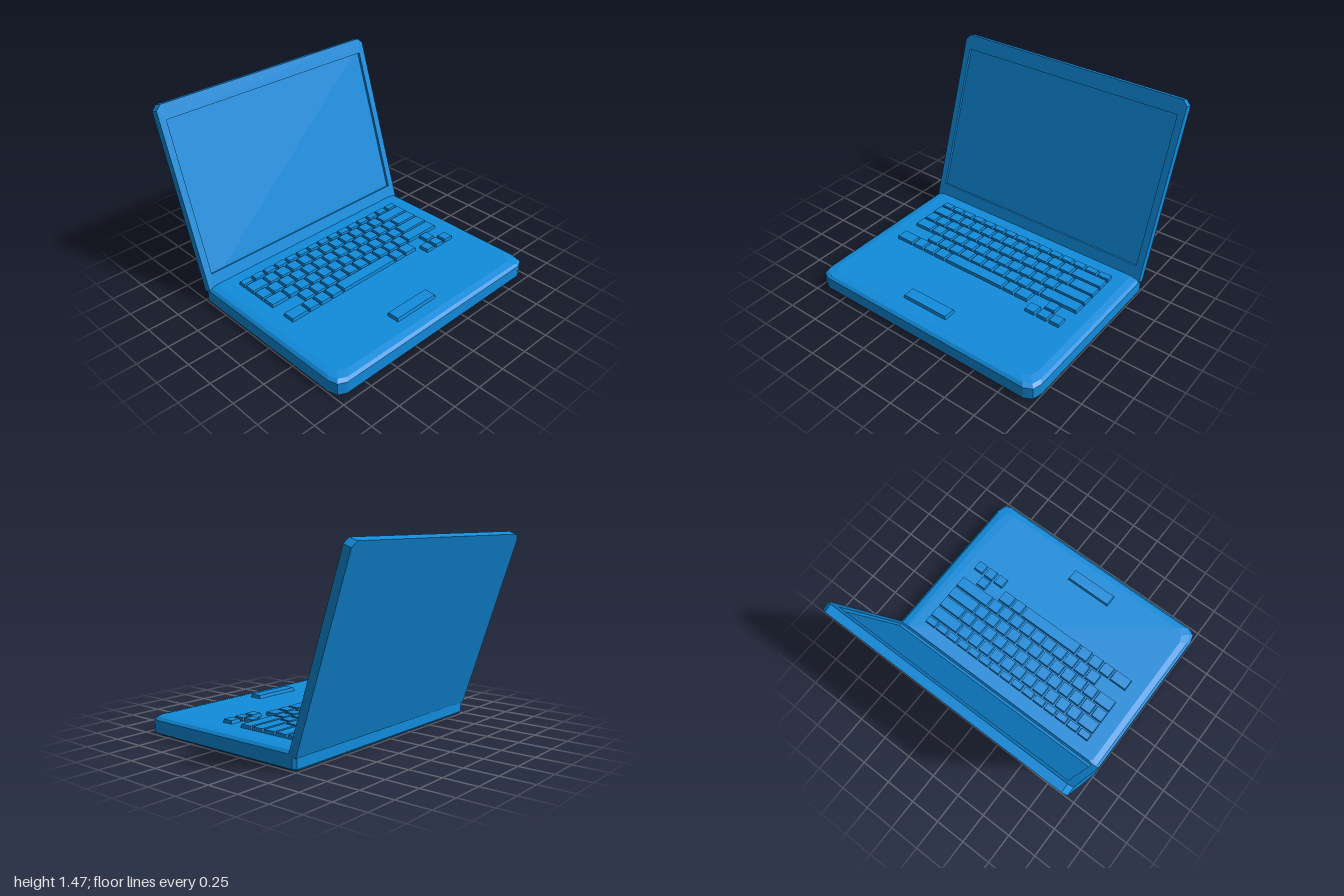
import * as THREE from 'three';

const blue = new THREE.MeshStandardMaterial({ color: 0x118cdc, flatShading: true });

// Horizontal outline of the base: clipped corners, anticlockwise seen from below
function baseRing(y, inset, back) {
  const w = 1 - inset, f = 0.95 - inset;
  const half = [[w - 0.02, back], [w, back + 0.025], [w, f - 0.1], [w - 0.02, f - 0.03], [w - 0.08, f]];
  const other = half.map(([x, z]) => [-x, z]).reverse();
  return [...half, ...other].map(([x, z]) => [x, y, z]);
}

// Stack of equal-length rings joined by side faces and closed by flat caps
function loft(rings) {
  const n = rings[0].length, index = [];
  for (let r = 0; r < rings.length - 1; r++) {
    for (let i = 0; i < n; i++) {
      const a = r * n + i, b = r * n + (i + 1) % n;
      index.push(a, a + n, b, b, a + n, b + n);
    }
  }
  const top = (rings.length - 1) * n;
  for (let i = 1; i < n - 1; i++) {
    index.push(0, i, i + 1, top, top + i + 1, top + i);
  }
  const geometry = new THREE.BufferGeometry();
  geometry.setAttribute('position', new THREE.Float32BufferAttribute(rings.flat(2), 3));
  geometry.setIndex(index);
  geometry.computeVertexNormals();
  return geometry;
}

// Low block between two corners, narrowing slightly towards its top
function taperedBlock(name, x0, x1, z0, z1, taper) {
  const w = x1 - x0, d = z1 - z0, h = 0.035;
  const geometry = new THREE.BoxGeometry(w, h, d);
  const p = geometry.attributes.position;
  for (let i = 0; i < p.count; i++) {
    if (p.getY(i) > 0) {
      p.setX(i, p.getX(i) * (1 - 2 * taper / w));
      p.setZ(i, p.getZ(i) * (1 - 2 * taper / d));
    }
  }
  geometry.computeVertexNormals();
  const mesh = new THREE.Mesh(geometry, blue);
  mesh.name = name;
  mesh.position.set((x0 + x1) / 2, 0.165 - h / 2, (z0 + z1) / 2);
  return mesh;
}

function createKeyboard() {
  const keyboard = new THREE.Group();
  keyboard.name = 'keyboard';
  const unit = 0.11, left = -0.815, gap = 0.005;
  const ones = (n) => Array(n).fill(1);
  // Each row: back edge, front edge, starting offset, key widths in units
  const rows = [
    [-0.328, -0.265, 0, ones(15)],
    [-0.257, -0.155, 0, [1.5, ...ones(11), 2.5]],
    [-0.147, -0.045, 0, [...ones(13), 2]],
    [-0.037, 0.065, 0, [1.5, ...ones(11), 2.5]],
    [0.073, 0.175, 2, [...ones(10), 3]],
    [0.183, 0.285, 0, [1.5, 1, 1, 1.05, 5.05, 1, 1.15]],
  ];
  for (const [z0, z1, offset, widths] of rows) {
    let x = left + offset * unit;
    for (const width of widths) {
      const end = x + width * unit;
      keyboard.add(taperedBlock('key', x + gap, end - gap, z0, z1, 0.006));
      x = end;
    }
  }
  // Arrow keys
  for (const [x, z] of [[0.66, 0.228], [0.555, 0.327], [0.66, 0.327], [0.765, 0.327]]) {
    keyboard.add(taperedBlock('arrowKey', x - 0.045, x + 0.045, z - 0.045, z + 0.045, 0.006));
  }
  return keyboard;
}

function createLid() {
  const lid = new THREE.Group();
  lid.name = 'lid';
  const height = 1.428, thickness = 0.065, recess = 0.021, clip = 0.04;
  const outline = () => new THREE.Shape([
    [-1, 0], [1, 0], [1, height - clip], [1 - clip, height], [clip - 1, height], [-1, height - clip],
  ].map(([x, y]) => new THREE.Vector2(x, y)));

  // Back panel whose front face is the screen
  const panel = new THREE.Mesh(
    new THREE.ExtrudeGeometry(outline(), { depth: thickness - recess, bevelEnabled: false }), blue);
  panel.name = 'screenPanel';
  panel.position.z = -thickness;

  // Bezel around the recessed screen
  const shape = outline();
  shape.holes.push(new THREE.Path([
    [-0.945, 0.121], [-0.945, 1.312], [0.945, 1.312], [0.945, 0.121],
  ].map(([x, y]) => new THREE.Vector2(x, y))));
  const bezel = new THREE.Mesh(
    new THREE.ExtrudeGeometry(shape, { depth: recess, bevelEnabled: false }), blue);
  bezel.name = 'screenBezel';
  bezel.position.z = -recess;

  lid.add(panel, bezel);
  lid.position.set(0, 0.11, -0.435);
  lid.rotation.x = -0.3206;
  return lid;
}

export function createModel() {
  const model = new THREE.Group();
  model.name = 'laptop';

  // Base with bevelled rims and a back edge sloping under the lid
  const base = new THREE.Mesh(loft([
    baseRing(0, 0.02, -0.48),
    baseRing(0.015, 0, -0.49),
    baseRing(0.09, 0, -0.49),
    baseRing(0.11, 0, -0.475),
    baseRing(0.13, 0.02, -0.45),
    baseRing(0.14, 0.07, -0.44),
  ]), blue);
  base.name = 'base';

  model.add(base, createKeyboard(), createLid());
  model.add(taperedBlock('touchBar', -0.28, 0.125, 0.685, 0.792, 0.008));
  return model;
}
